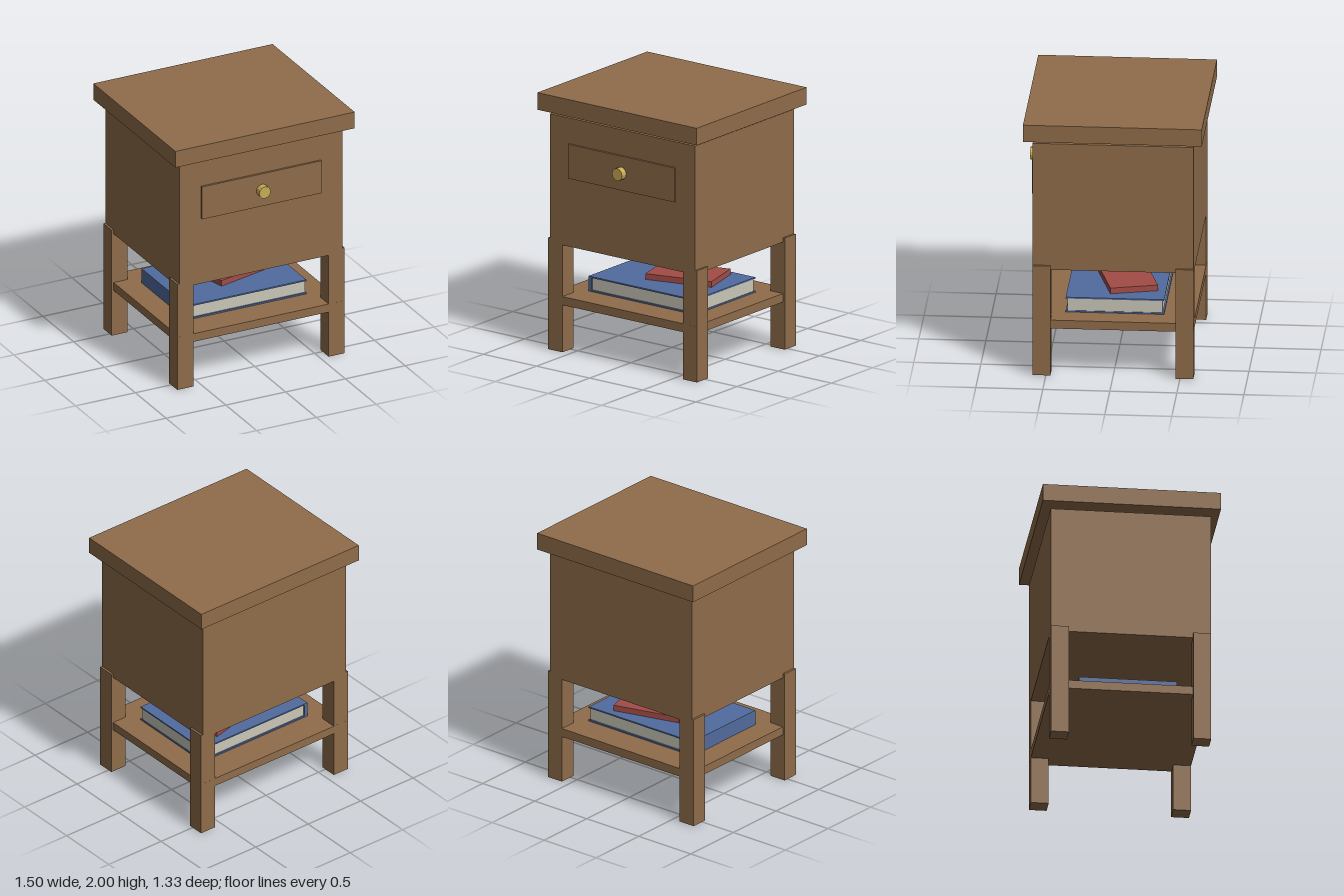
import * as THREE from 'three';

const material = (name, color) => {
  const m = new THREE.MeshStandardMaterial({ color });
  m.name = name;
  return m;
};

export function createModel() {
  const wood = material('wood', 0x8f6c4a);
  const brass = material('brass', 0xc9ad55);
  const blue = material('blueCover', 0x516b9e);
  const red = material('redCover', 0xa34c46);
  const paper = material('paper', 0xcac7b8);

  const model = new THREE.Group();
  model.name = 'nightstand';

  // Box given by its extents along each axis
  const box = (name, mat, [x0, x1], [y0, y1], [z0, z1], parent = model) => {
    const mesh = new THREE.Mesh(new THREE.BoxGeometry(x1 - x0, y1 - y0, z1 - z0), mat);
    mesh.position.set((x0 + x1) / 2, (y0 + y1) / 2, (z0 + z1) / 2);
    mesh.name = name;
    parent.add(mesh);
    return mesh;
  };

  // Cabinet, with the top floating slightly above the body
  box('tableTop', wood, [-0.75, 0.75], [1.867, 2], [-0.667, 0.667]);
  box('cabinetBody', wood, [-0.683, 0.683], [0.833, 1.833], [-0.6, 0.6]);
  box('shelf', wood, [-0.683, 0.683], [0.367, 0.433], [-0.6, 0.6]);

  // Four square legs
  for (const sx of [-1, 1]) {
    for (const sz of [-1, 1]) {
      const leg = box('leg', wood, [-0.0667, 0.0667], [0, 0.867], [-0.0667, 0.0667]);
      leg.position.x = sx * 0.633;
      leg.position.z = sz * 0.533;
    }
  }

  // Drawer front and round knob
  box('drawerFront', wood, [-0.5, 0.5], [1.367, 1.633], [0.58, 0.617]);
  const knobGeometry = new THREE.CylinderGeometry(0.048, 0.048, 0.05, 12).toNonIndexed();
  knobGeometry.computeVertexNormals();
  const knob = new THREE.Mesh(knobGeometry, brass);
  knob.name = 'drawerKnob';
  knob.rotation.x = Math.PI / 2;
  knob.position.set(0, 1.5, 0.642);
  model.add(knob);

  // Large book: two covers, a spine on the right-hand side, inset pages
  const largeBook = new THREE.Group();
  largeBook.name = 'largeBook';
  model.add(largeBook);
  const depth = [-0.367, 0.367];
  box('lowerCover', blue, [-0.5, 0.5], [0.433, 0.444], depth, largeBook);
  box('upperCover', blue, [-0.5, 0.5], [0.539, 0.55], depth, largeBook);
  box('spine', blue, [-0.5, -0.473], [0.444, 0.539], depth, largeBook);
  box('pages', paper, [-0.473, 0.494], [0.444, 0.539], [-0.355, 0.355], largeBook);

  // Small book lying at an angle on top
  const smallBook = box('smallBook', red, [-0.267, 0.267], [0.55, 0.595], [-0.18, 0.18]);
  smallBook.position.x = 0.1;
  smallBook.position.z = -0.064;
  smallBook.rotation.y = 0.26;

  return model;
}
